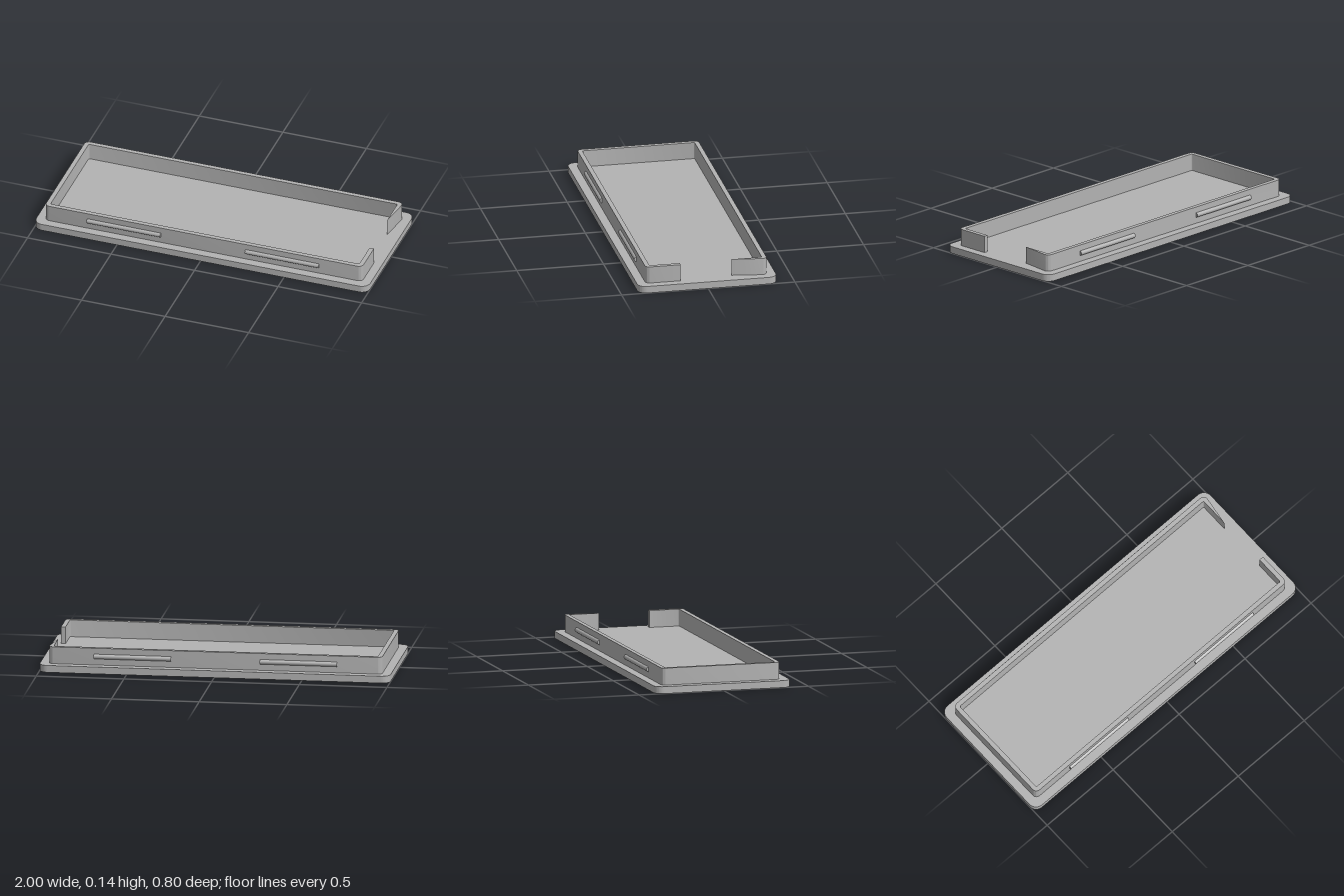
import * as THREE from 'three';
import { toCreasedNormals } from 'three/addons/utils/BufferGeometryUtils.js';

const BASE_H = 0.04, TOP = 0.137, GAP = 0.149;

// Extrude a plan shape (x, -z) upwards from y
function extrudeUp(shape, y, height) {
  const g = new THREE.ExtrudeGeometry(shape, { depth: height, bevelEnabled: false, curveSegments: 8 });
  g.rotateX(-Math.PI / 2);
  g.translate(0, y, 0);
  return toCreasedNormals(g, 0.5);
}

// Rounded rectangle, counter-clockwise
function roundedRect(w, d, r) {
  const s = new THREE.Shape();
  s.absarc(w - r, d - r, r, 0, Math.PI / 2);
  s.absarc(-w + r, d - r, r, Math.PI / 2, Math.PI);
  s.absarc(-w + r, -d + r, r, Math.PI, Math.PI * 1.5);
  s.absarc(w - r, -d + r, r, Math.PI * 1.5, Math.PI * 2);
  s.closePath();
  return s;
}

// C-shaped rim, open in the middle of the +x end
function rimShape(w, d, r, t, gap) {
  const s = new THREE.Shape(), q = Math.PI / 2, cx = w - r, cz = d - r, ri = r - t > 0.008 ? r - t : 0.008;
  const ix = w - t - ri, iz = d - t - ri;
  s.moveTo(w, gap);
  s.absarc(cx, cz, r, 0, q);
  s.absarc(-cx, cz, r, q, 2 * q);
  s.absarc(-cx, -cz, r, 2 * q, 3 * q);
  s.absarc(cx, -cz, r, 3 * q, 4 * q);
  s.lineTo(w, -gap);
  s.lineTo(w - t, -gap);
  s.absarc(ix, -iz, ri, 4 * q, 3 * q, true);
  s.absarc(-ix, -iz, ri, 3 * q, 2 * q, true);
  s.absarc(-ix, iz, ri, 2 * q, q, true);
  s.absarc(ix, iz, ri, q, 0, true);
  s.lineTo(w - t, gap);
  s.closePath();
  return s;
}

export function createModel() {
  const group = new THREE.Group();
  const grey = new THREE.MeshStandardMaterial({ color: 0xb3b3b3 });
  grey.name = 'grey plastic';
  const add = (geometry, name) => {
    const mesh = new THREE.Mesh(geometry, grey);
    mesh.name = name;
    group.add(mesh);
    return mesh;
  };

  // Flat cover plate
  add(extrudeUp(roundedRect(1, 0.4, 0.05), 0, BASE_H), 'coverPlate');

  // Raised rim with an opening at one end
  add(extrudeUp(rimShape(0.95, 0.35, 0.028, 0.026, GAP), BASE_H, TOP - BASE_H), 'rim');

  // Round snap ridges along both long sides, half sunk into the rim
  for (const side of [1, -1]) {
    for (const x of [-0.475, 0.472]) {
      const ridge = add(new THREE.CylinderGeometry(0.014, 0.014, 0.44, 24), side > 0 ? 'frontSnapRidge' : 'backSnapRidge');
      ridge.rotation.z = Math.PI / 2;
      ridge.position.set(x, 0.089, side * 0.349);
    }
  }
  return group;
}
